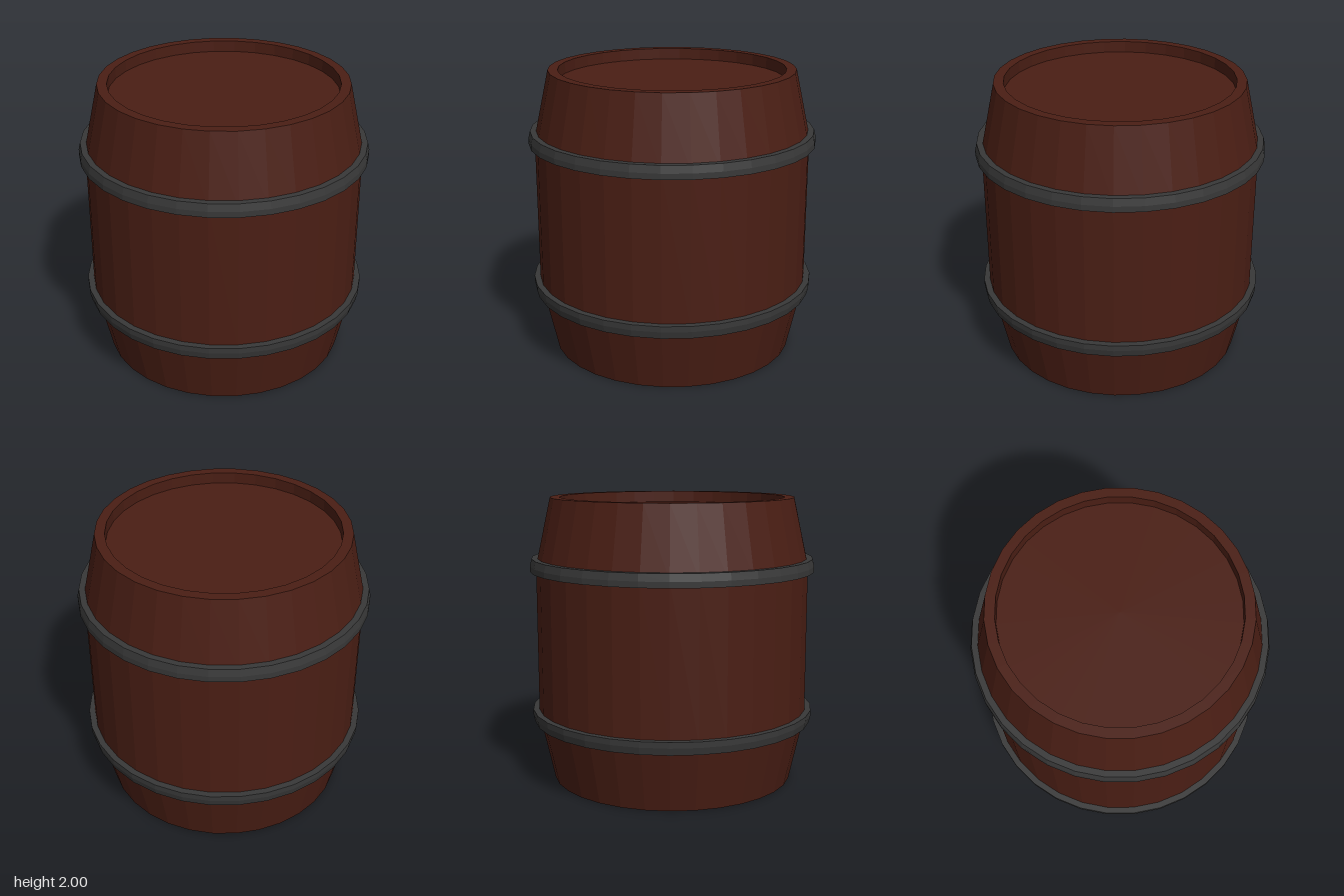
import * as THREE from 'three';

const SIDES = 32;

// Revolve [radius, height] pairs into a faceted part
function turned(name, profile, color) {
  const points = profile.map(([r, y]) => new THREE.Vector2(r, y));
  const mesh = new THREE.Mesh(
    new THREE.LatheGeometry(points, SIDES),
    new THREE.MeshStandardMaterial({ color, flatShading: true })
  );
  mesh.name = name;
  return mesh;
}

export function createModel() {
  const barrel = new THREE.Group();
  barrel.name = 'barrel';

  // Wooden body with a raised rim and recessed lid at each end
  const lower = [[0, 0.08], [0.785, 0.08], [0.785, 0], [0.853, 0], [0.957, 0.47]];
  const upper = lower.map(([r, y]) => [r, 2 - y]).reverse();
  barrel.add(turned('body', [...lower, ...upper], 0x4a1e14));

  // Metal hoops wrapped around the bends in the body
  const hoop = [[0.93, 0.42], [0.988, 0.42], [1, 0.47], [1, 0.51], [0.95, 0.51], [0.95, 0.47], [0.93, 0.42]];
  barrel.add(turned('lowerHoop', hoop, 0x383838));
  barrel.add(turned('upperHoop', hoop.map(([r, y]) => [r, 2 - y]).reverse(), 0x383838));

  return barrel;
}
